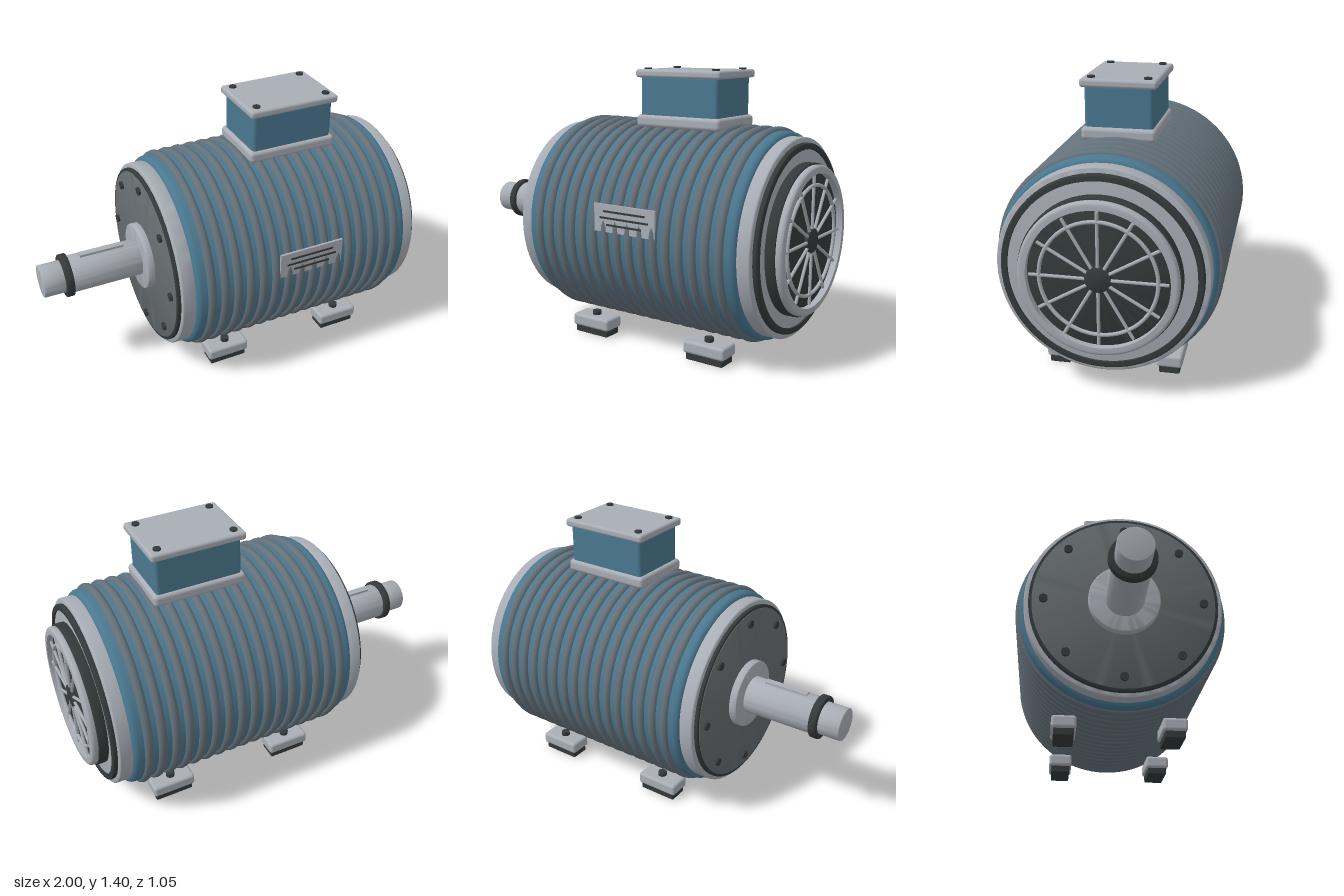
import * as THREE from 'three';
import { toCreasedNormals } from 'three/addons/utils/BufferGeometryUtils.js';
import { RoundedBoxGeometry } from 'three/addons/geometries/RoundedBoxGeometry.js';

const material = (name, color) => {
  const m = new THREE.MeshStandardMaterial({ color });
  m.name = name;
  return m;
};

export function createModel() {
  const light = material('light grey metal', 0xa9aeb6);
  const mid = material('mid grey metal', 0x666c70);
  const rib = material('fin grey', 0x64717a);
  const blue = material('blue paint', 0x4a7890);
  const dark = material('dark rubber and steel', 0x343a3b);

  const root = new THREE.Group();
  root.name = 'electricMotor';

  // Everything that turns sits on an axis along x at shaft height
  const axis = new THREE.Group();
  axis.name = 'axisParts';
  axis.position.y = 0.602;
  root.add(axis);

  const add = (parent, name, geometry, mat, x = 0, y = 0, z = 0) => {
    const mesh = new THREE.Mesh(geometry, mat);
    mesh.name = name;
    mesh.position.set(x, y, z);
    parent.add(mesh);
    return mesh;
  };

  // Turned solid (or ring when inner > 0) from x0 to x1 with bevelled rims
  const turned = (name, mat, x0, x1, r, bevel = 0.006, inner = 0) => {
    const pts = [[inner, x0]];
    for (const [cx, a0] of [[x0 + bevel, -90], [x1 - bevel, 0]]) {
      for (let i = 0; i <= 4; i++) {
        const a = THREE.MathUtils.degToRad(a0 + i * 22.5);
        pts.push([r - bevel + bevel * Math.cos(a), cx + bevel * Math.sin(a)]);
      }
    }
    pts.push([inner, x1]);
    if (inner > 0) pts.push([inner, x0]);
    const g = new THREE.LatheGeometry(pts.map(([a, b]) => new THREE.Vector2(a, b)), 72);
    g.rotateZ(-Math.PI / 2);
    return add(axis, name, toCreasedNormals(g, 0.6), mat);
  };
  const hoop = (name, mat, x, r, tube) => {
    const g = new THREE.TorusGeometry(r, tube, 12, 80);
    g.rotateY(Math.PI / 2);
    return add(axis, name, g, mat, x);
  };

  // Finned body
  turned('bodyShell', blue, -0.36, 0.845, 0.508, 0.03);
  for (let i = 0; i < 16; i++) hoop('coolingFin', rib, -0.282 + i * 0.07, 0.503, 0.024);

  // End rings
  turned('driveEndRing', light, -0.428, -0.35, 0.485, 0.008);
  turned('fanEndRing', light, 0.835, 0.908, 0.485, 0.008);

  // Drive end plate with bolts and shaft
  turned('driveEndGasket', dark, -0.446, -0.42, 0.462, 0.004);
  turned('driveEndPlate', mid, -0.449, -0.43, 0.447, 0.002);
  for (let i = 0; i < 8; i++) {
    const a = (i * Math.PI) / 4;
    const g = new THREE.CylinderGeometry(0.021, 0.021, 0.024, 12);
    g.rotateZ(Math.PI / 2);
    add(axis, 'endPlateBolt', g, dark, -0.45, 0.39 * Math.cos(a), 0.39 * Math.sin(a));
  }
  turned('bearingHub', light, -0.487, -0.44, 0.175);
  turned('shaft', light, -0.87, -0.48, 0.096, 0.003);
  turned('shaftTip', light, -1, -0.86, 0.084, 0.004);
  turned('shaftSeal', dark, -0.89, -0.85, 0.111);
  add(axis, 'shaftKey', new THREE.BoxGeometry(0.23, 0.03, 0.034), light, -0.675, 0.092);

  // Fan end cover and grille
  turned('fanEndPlate', light, 0.9, 0.92, 0.44, 0.003);
  turned('fanEndGasket', dark, 0.9, 0.93, 0.459, 0.008, 0.429);
  turned('fanCover', dark, 0.91, 0.968, 0.368, 0.004);
  turned('fanCoverRim', light, 0.958, 1, 0.361, 0.016, 0.322);
  hoop('grilleRing', light, 0.98, 0.265, 0.009);
  for (let i = 0; i < 12; i++) {
    const g = new THREE.CylinderGeometry(0.008, 0.008, 0.26, 8);
    g.translate(0, 0.182, 0);
    add(axis, 'grilleSpoke', g, light, 0.98).rotation.x = (i * Math.PI) / 6;
  }
  turned('grilleHub', dark, 0.96, 0.988, 0.06, 0.004);

  // Terminal box on top
  const bx = 0.324;
  add(root, 'terminalBoxBase', new RoundedBoxGeometry(0.482, 0.062, 0.352, 3, 0.02), light, bx, 1.134);
  add(root, 'terminalBox', new RoundedBoxGeometry(0.445, 0.225, 0.322, 3, 0.018), blue, bx, 1.25);
  add(root, 'terminalBoxLid', new RoundedBoxGeometry(0.486, 0.04, 0.36, 3, 0.014), light, bx, 1.37);
  for (const sx of [-1, 1]) for (const sz of [-1, 1]) {
    add(root, 'lidBolt', new THREE.CylinderGeometry(0.019, 0.019, 0.02, 12), dark,
      bx + sx * 0.195, 1.388, sz * 0.132);
  }

  // Four feet with pads and bolts
  for (const x of [-0.105, 0.588]) for (const z of [-0.271, 0.271]) {
    const foot = new THREE.Group();
    foot.name = 'foot';
    foot.position.set(x, 0, z);
    root.add(foot);
    add(foot, 'footPad', new RoundedBoxGeometry(0.205, 0.05, 0.1, 2, 0.006), dark, 0, 0.025);
    add(foot, 'footBlock', new RoundedBoxGeometry(0.23, 0.064, 0.124, 3, 0.015), light, 0, 0.067);
    add(foot, 'footBolt', new THREE.CylinderGeometry(0.023, 0.023, 0.03, 12), dark, 0, 0.105);
  }

  // Rating plate with blank bars, half sunk into the fins
  add(root, 'ratingPlate', new THREE.BoxGeometry(0.352, 0.135, 0.012), light, 0.26, 0.698, 0.514);
  for (const [y, w] of [[0.732, 0.24], [0.7, 0.28], [0.667, 0.2]]) {
    add(root, 'ratingPlateBar', new THREE.BoxGeometry(w, 0.009, 0.006), dark, 0.26, y, 0.5215);
  }

  return root;
}
